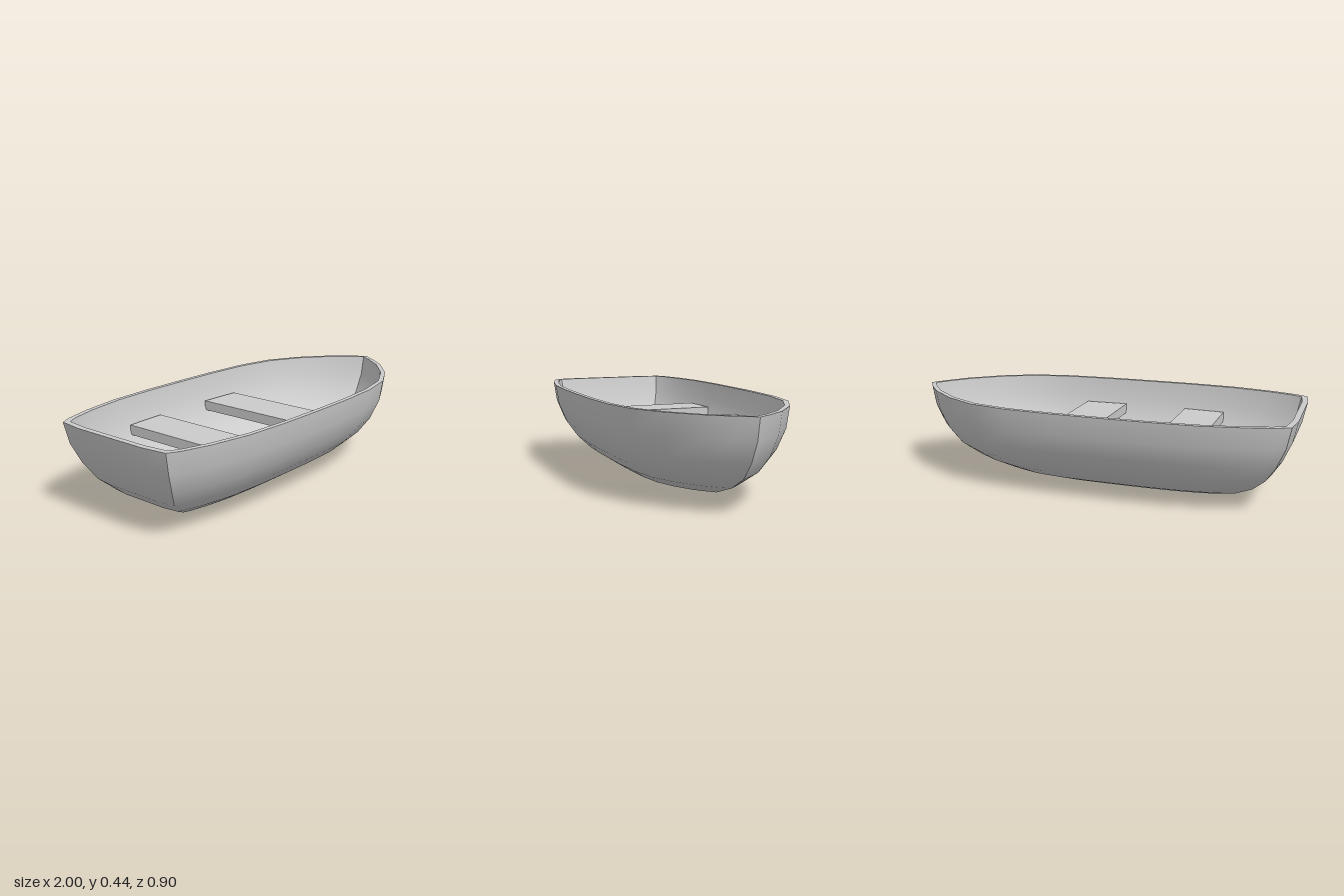
import * as THREE from 'three';
import { toCreasedNormals } from 'three/addons/utils/BufferGeometryUtils.js';

const RIM_Y = 0.445;

// Half outline of the gunwale, bow to stern: [x, half width]
const HALF = [
  [1, 0], [0.95, 0.075], [0.87, 0.175], [0.72, 0.3], [0.55, 0.39], [0.35, 0.432],
  [0.1, 0.447], [-0.12, 0.449], [-0.36, 0.447], [-0.6, 0.433], [-0.8, 0.395],
  [-0.93, 0.355], [-0.985, 0.325], [-1, 0.2], [-1, 0],
];
const OUTLINE = [...HALF, ...HALF.slice(1, -1).reverse().map(([x, z]) => [x, -z])];

// Waterlines from keel to gunwale: [y, stern x, bow x]
const LEVELS = [
  [0, -0.4, 0.2], [0.008, -0.53, 0.3], [0.022, -0.64, 0.43], [0.05, -0.73, 0.6],
  [0.1, -0.82, 0.75], [0.16, -0.885, 0.86], [0.24, -0.935, 0.93], [0.34, -0.978, 0.98],
  [RIM_Y, -1, 1],
];

// One waterline: the gunwale outline squeezed to the stem and stern at its height
function ring([y, stern, bow], kx, ky, kz) {
  const depth = RIM_Y - y;
  const width = Math.pow(1 - (depth / RIM_Y) ** 2, 0.525);
  return OUTLINE.map(([x, z]) => [
    kx * (stern + (bow - stern) * (x + 1) / 2),
    RIM_Y - depth * ky,
    z * width * kz,
  ]);
}

// Outer skin from keel up, over the rim, and down the inner skin
function hullGeometry() {
  const rows = [
    ...LEVELS.map((l) => ring(l, 1, 1, 1)),
    ...LEVELS.slice().reverse().map((l) => ring(l, 0.972, 0.96, 0.947)),
  ];
  const n = OUTLINE.length;
  const index = [];
  for (let i = 0; i < rows.length - 1; i++) {
    for (let j = 0; j < n; j++) {
      const a = i * n + j, b = i * n + (j + 1) % n;
      index.push(a, a + n, b, b, a + n, b + n);
    }
  }
  const g = new THREE.BufferGeometry();
  g.setAttribute('position', new THREE.Float32BufferAttribute(rows.flat(2), 3));
  g.setIndex(index);
  return toCreasedNormals(g, 0.65);
}

// Plank across the hull whose ends follow the hull sides
function seatGeometry(x0, z0, x1, z1) {
  const shape = new THREE.Shape([
    new THREE.Vector2(x0, -z0), new THREE.Vector2(x1, -z1),
    new THREE.Vector2(x1, z1), new THREE.Vector2(x0, z0),
  ]);
  return new THREE.ExtrudeGeometry(shape, { depth: 0.05, bevelEnabled: false })
    .rotateX(-Math.PI / 2)
    .translate(0, 0.265, 0);
}

export function createModel() {
  const group = new THREE.Group();
  group.name = 'rowingBoat';
  const material = new THREE.MeshStandardMaterial({ color: 0xcccccc });
  const add = (name, geometry) => {
    const mesh = new THREE.Mesh(geometry, material);
    mesh.name = name;
    group.add(mesh);
  };
  add('hull', hullGeometry());
  add('sternSeat', seatGeometry(-0.55, 0.376, -0.335, 0.387));
  add('bowSeat', seatGeometry(0, 0.389, 0.225, 0.379));
  return group;
}
